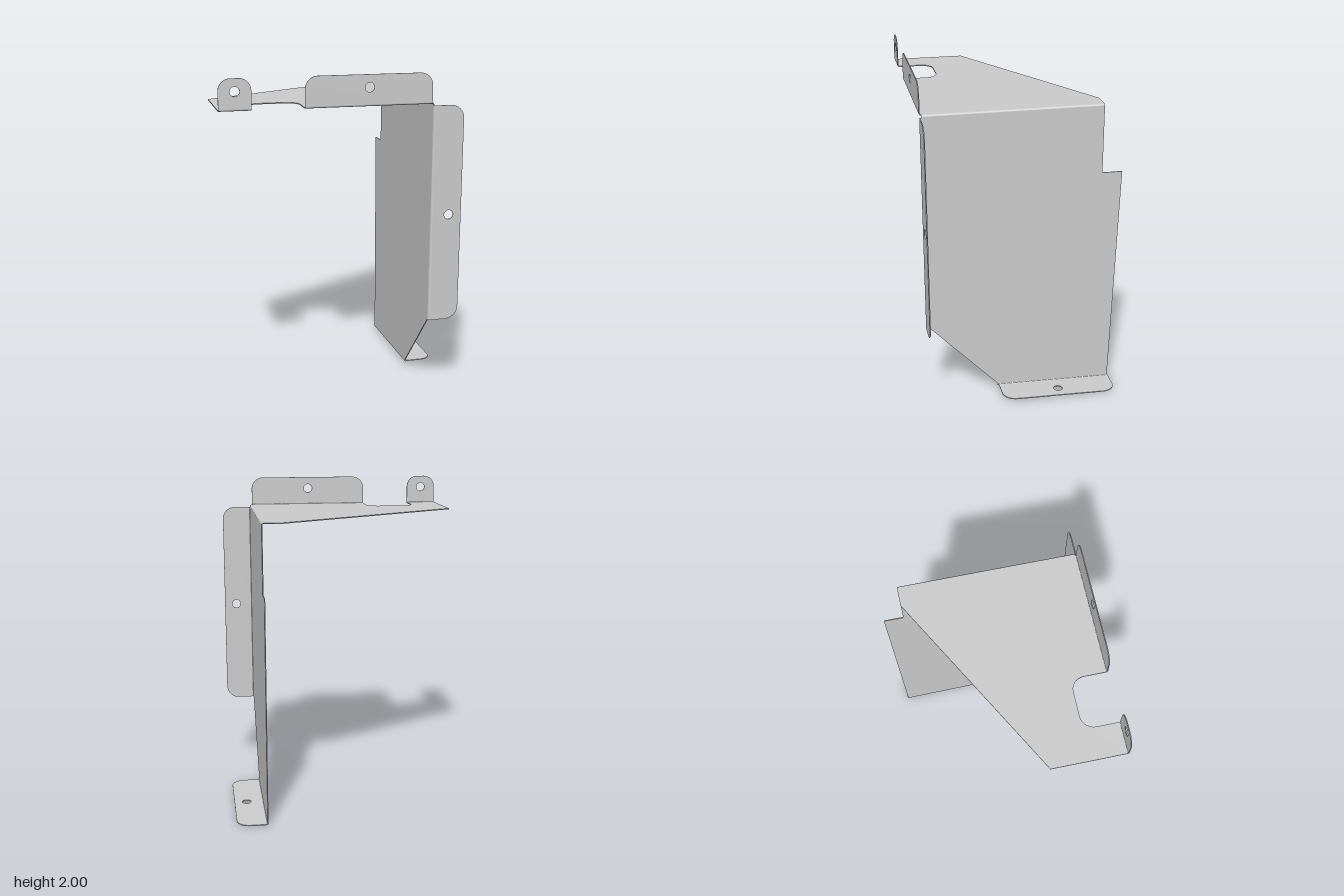
import * as THREE from 'three';

const T = 0.006;        // sheet thickness
const R = 2 * T;        // outer bend radius
const V = (x, y, z) => new THREE.Vector3(x, y, z);
const material = new THREE.MeshStandardMaterial({ color: 0xcccccc, side: THREE.DoubleSide });

// Flat sheet from corners [x, y, cornerRadius], with round holes [x, y, radius]
function sheet(name, corners, holes = []) {
  const shape = new THREE.Shape();
  const n = corners.length;
  const toward = (a, b, d) => {
    const len = Math.hypot(b[0] - a[0], b[1] - a[1]);
    return [a[0] + (b[0] - a[0]) * d / len, a[1] + (b[1] - a[1]) * d / len];
  };
  corners.forEach((c, i) => {
    const r = c[2] || 0;
    const prev = corners[(i + n - 1) % n], next = corners[(i + 1) % n];
    const start = toward(c, prev, r), end = toward(c, next, r);
    if (i === 0) shape.moveTo(...start); else shape.lineTo(...start);
    if (r) shape.bezierCurveTo(...toward(c, prev, r * 0.448), ...toward(c, next, r * 0.448), ...end);
  });
  shape.closePath();
  for (const [x, y, r] of holes) {
    shape.holes.push(new THREE.Path().absarc(x, y, r, 0, Math.PI * 2, true));
  }
  const geometry = new THREE.ExtrudeGeometry(shape, { depth: T, bevelEnabled: false, curveSegments: 12 });
  const mesh = new THREE.Mesh(geometry, material);
  mesh.name = name;
  return mesh;
}

// Quarter-round fold turning from direction u to v, running along u x v
function bend(name, center, u, v, length) {
  const shape = new THREE.Shape();
  shape.absarc(0, 0, R, 0, Math.PI / 2, false);
  shape.absarc(0, 0, R - T, Math.PI / 2, 0, true);
  const geometry = new THREE.ExtrudeGeometry(shape, { depth: length, bevelEnabled: false, curveSegments: 5 });
  const w = V(0, 0, 0).crossVectors(u, v);
  geometry.applyMatrix4(new THREE.Matrix4().makeBasis(u, v, w).setPosition(center));
  const mesh = new THREE.Mesh(geometry, material);
  mesh.name = name;
  return mesh;
}

export function createModel() {
  const model = new THREE.Group();
  model.name = 'bracket';
  const front = 0.6, side = 0.54, top = 1.822, hole = 0.028;
  const zEnd = front - R;

  // Top plate with a slanted rear edge and a rounded notch (drawn as x, -z)
  const topPlate = sheet('topPlate', [
    [-0.725, -zEnd], [-0.537, -zEnd], [-0.537, -0.382, 0.078], [-0.232, -0.382, 0.078],
    [-0.232, -zEnd], [side - R, -zEnd], [side - R, 0.477], [0.415, 0.477], [-0.725, -0.155],
  ]);
  topPlate.rotation.x = -Math.PI / 2;
  topPlate.position.y = top - T;
  model.add(topPlate);

  // Side plate with a rear step and a chamfered lower front (drawn as -z, y)
  const sidePlate = sheet('sidePlate', [
    [-zEnd, top - R], [-zEnd, 0.485], [-0.16, 0.034], [0.555, 0.012],
    [0.597, 1.4], [0.475, 1.4], [0.475, top - R],
  ]);
  sidePlate.rotation.y = Math.PI / 2;
  sidePlate.position.x = side - T;
  model.add(sidePlate);
  model.add(bend('topSideBend', V(side - R, top - R, -0.476), V(1, 0, 0), V(0, 1, 0), 0.476 + zEnd));

  // Upright tabs along the front of the top plate
  for (const [name, x0, x1, r] of [['smallTab', -0.725, -0.537, 0.07], ['largeTab', -0.232, 0.525, 0.075]]) {
    const y0 = top - T + R;
    const tab = sheet(name, [[x0, y0], [x1, y0], [x1, 2, r], [x0, 2, r]], [[(x0 + x1) / 2, 1.926, hole]]);
    tab.position.z = front - T;
    model.add(tab, bend(name + 'Bend', V(x0, y0, zEnd), V(0, 0, 1), V(0, -1, 0), x1 - x0));
  }

  // Front flange along the side plate
  const xIn = side - T + R;
  const flange = sheet('frontFlange', [
    [xIn, 0.48], [0.722, 0.48, 0.08], [0.722, 1.806, 0.08], [xIn, 1.806],
  ], [[0.645, 1.145, hole]]);
  flange.position.z = front - T;
  model.add(flange, bend('frontFlangeBend', V(xIn, 0.48, zEnd), V(-1, 0, 0), V(0, 0, 1), 1.326));

  // Slightly tilted foot flange (drawn as x, -z)
  const foot = new THREE.Group();
  foot.name = 'foot';
  const footPlate = sheet('footPlate', [
    [xIn, -0.152], [0.722, -0.152, 0.08], [0.722, 0.56, 0.08], [xIn, 0.56],
  ], [[0.645, 0.205, hole]]);
  footPlate.rotation.x = -Math.PI / 2;
  foot.add(footPlate, bend('footBend', V(xIn, R, -0.558), V(-1, 0, 0), V(0, -1, 0), 0.718));
  foot.rotation.x = -0.031;
  foot.position.y = 0.0174;
  model.add(foot);

  return model;
}
